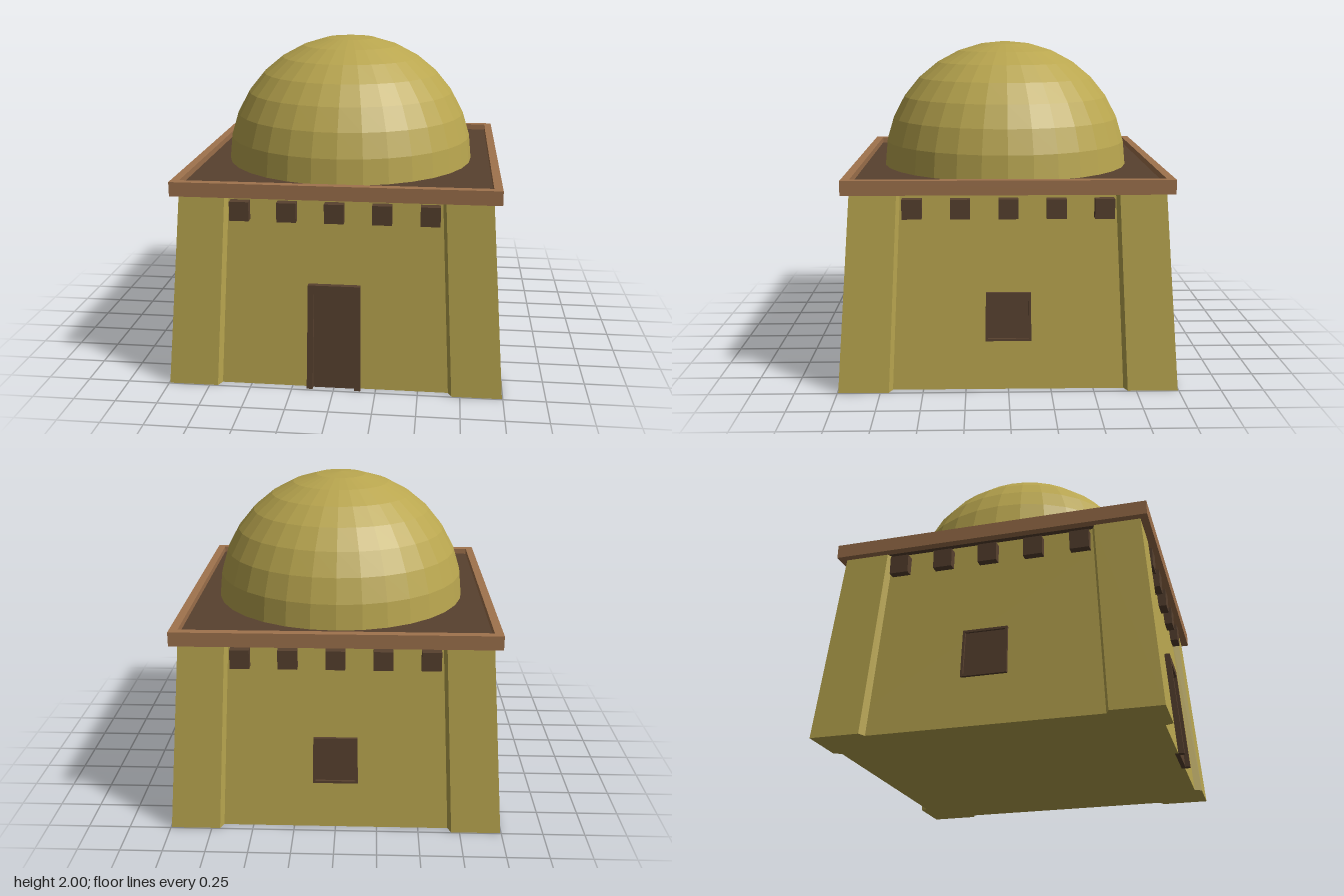
import * as THREE from 'three';

const TAPER = 0.073;   // inward lean of the walls per unit of height
const WALL = 0.95;     // half width of the walls at the ground
const WALL_TOP = 1.165;

const mat = (name, color) => {
  const m = new THREE.MeshStandardMaterial({ color });
  m.name = name;
  return m;
};

// Lean a geometry inwards with height and give it flat normals.
function taper(geo) {
  const p = geo.attributes.position;
  for (let i = 0; i < p.count; i++) {
    const s = 1 - TAPER * p.getY(i);
    p.setX(i, p.getX(i) * s);
    p.setZ(i, p.getZ(i) * s);
  }
  geo.computeVertexNormals();
  return geo;
}

// Box given by its lower and upper limits.
function span(x0, x1, y0, y1, z0, z1) {
  return new THREE.BoxGeometry(x1 - x0, y1 - y0, z1 - z0)
    .translate((x0 + x1) / 2, (y0 + y1) / 2, (z0 + z1) / 2);
}

// Extrude a plan outline upwards from height y.
function prism(shape, y, height) {
  return new THREE.ExtrudeGeometry(shape, { depth: height, bevelEnabled: false })
    .rotateX(-Math.PI / 2).translate(0, y, 0);
}

const square = (h) => [[-h, -h], [h, -h], [h, h], [-h, h]].map(([x, y]) => new THREE.Vector2(x, y));

export function createModel() {
  const clay = mat('ochre clay', 0xb9a64f);
  const wood = mat('dark wood', 0x58412f);
  const trim = mat('terracotta trim', 0xa0734d);

  const model = new THREE.Group();
  model.name = 'domedHouse';
  const add = (parent, name, geo, material) => {
    const mesh = new THREE.Mesh(geo, material);
    mesh.name = name;
    parent.add(mesh);
    return mesh;
  };

  // Leaning walls
  add(model, 'walls', taper(span(-WALL, WALL, 0, WALL_TOP, -WALL, WALL)), clay);

  // Corner buttresses with slanted inner edges
  const plan = new THREE.Shape([
    [0.995, 0.995], [0.7, 0.995], [0.68, WALL], [0.68, 0.9],
    [0.9, 0.9], [0.9, 0.68], [WALL, 0.68], [0.995, 0.7],
  ].map(([x, y]) => new THREE.Vector2(x, y)));
  for (let i = 0; i < 4; i++) {
    const geo = taper(prism(plan, 0, WALL_TOP));
    add(model, 'cornerButtress', geo, clay).rotation.y = i * Math.PI / 2;
  }

  // Cornice ring and sunken flat roof
  const ring = new THREE.Shape(square(0.955));
  ring.holes.push(new THREE.Path(square(0.905).reverse()));
  add(model, 'cornice', prism(ring, WALL_TOP, 0.085), trim);
  add(model, 'roof', span(-0.905, 0.905, WALL_TOP, 1.212, -0.905, 0.905), wood);

  // Faceted dome
  const dome = new THREE.SphereGeometry(0.79, 32, 8, 0, Math.PI * 2, 0, Math.PI / 2).toNonIndexed();
  dome.computeVertexNormals();
  add(model, 'dome', dome, clay).position.y = 1.21;

  // Each side: a row of beam ends, and a door at the front or a window elsewhere
  for (let i = 0; i < 4; i++) {
    const side = new THREE.Group();
    side.name = ['frontSide', 'leftSide', 'backSide', 'rightSide'][i];
    side.rotation.y = i * Math.PI / 2;
    model.add(side);

    for (let k = -2; k <= 2; k++) {
      const x = k * 0.277;
      add(side, 'beamEnd', span(x - 0.057, x + 0.057, 1.02, 1.135, 0.8, 0.928), wood);
    }

    if (i === 0) {
      add(side, 'door', taper(span(-0.126, 0.126, 0, 0.587, 0.93, WALL + 0.006)), wood);
      for (const s of [-1, 1]) {
        const jamb = span(s * 0.143 - 0.018, s * 0.143 + 0.018, 0, 0.587, 0.93, 0.985);
        add(side, 'doorJamb', taper(jamb), wood);
      }
      add(side, 'doorLintel', taper(span(-0.161, 0.161, 0.587, 0.642, 0.93, 0.985)), wood);
    } else {
      add(side, 'windowPane', taper(span(-0.125, 0.125, 0.305, 0.57, 0.93, WALL + 0.005)), wood);
      for (const s of [-1, 1]) {
        const post = span(s * 0.13 - 0.007, s * 0.13 + 0.007, 0.295, 0.582, 0.93, WALL + 0.02);
        add(side, 'windowPost', taper(post), wood);
        const y = 0.4385 + s * 0.1365;
        add(side, 'windowRail', taper(span(-0.123, 0.123, y - 0.007, y + 0.007, 0.93, WALL + 0.02)), wood);
      }
    }
  }
  return model;
}
